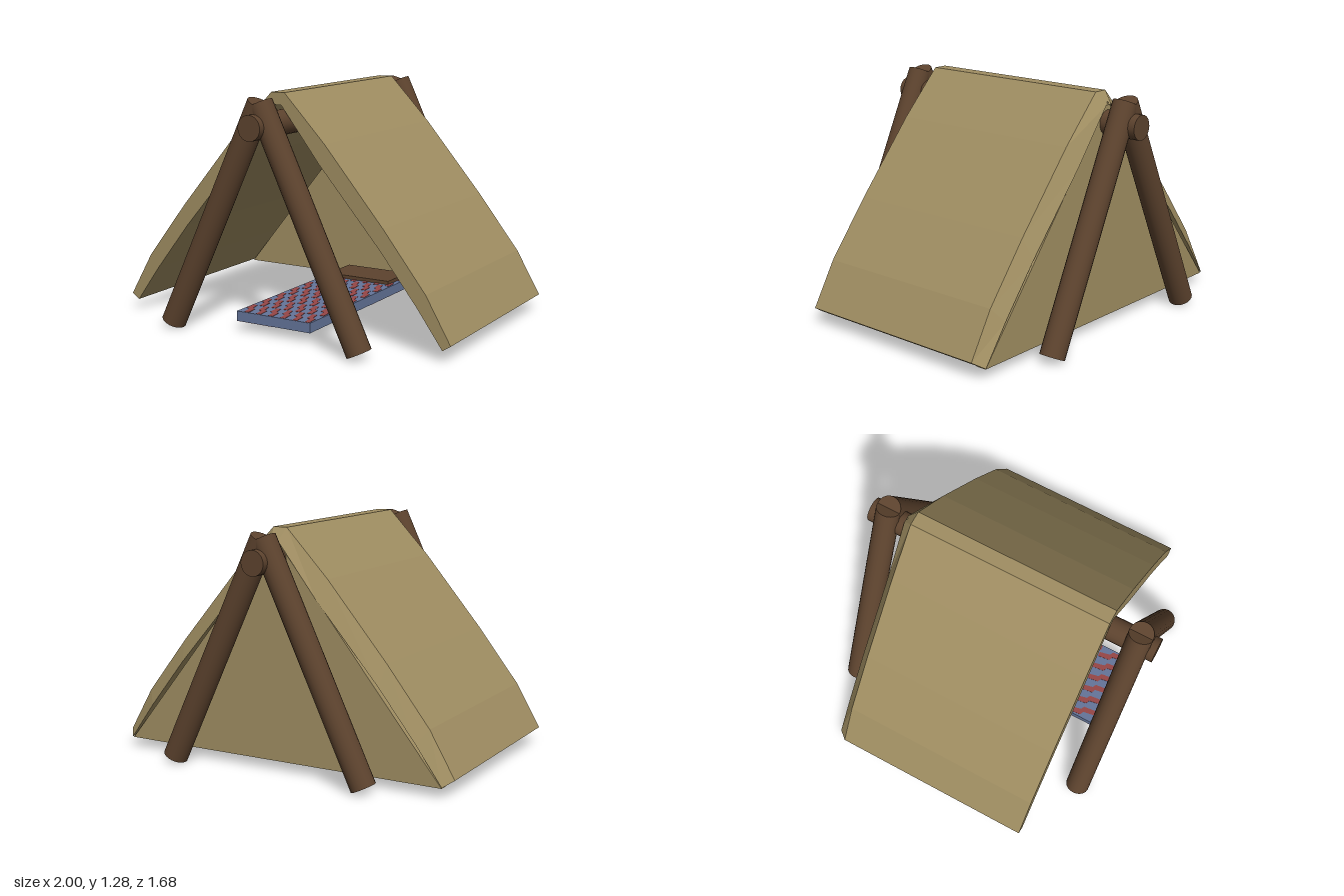
import * as THREE from 'three';

const mat = (name, color) => Object.assign(new THREE.MeshStandardMaterial({ color }), { name });
const shape = (points) => new THREE.Shape(points.map((p) => new THREE.Vector2(...p)));

export function createModel() {
  const canvas = mat('canvas', 0xa08e62);
  const wood = mat('wood', 0x5d432e);
  const blue = mat('blue cloth', 0x64759a);
  const red = mat('red cloth', 0x964646);
  const group = new THREE.Group();

  const add = (name, geometry, material, x = 0, y = 0, z = 0) => {
    const mesh = new THREE.Mesh(geometry, material);
    mesh.name = name;
    mesh.position.set(x, y, z);
    group.add(mesh);
    return mesh;
  };
  const box = (name, material, x0, x1, y0, y1, z0, z1) =>
    add(name, new THREE.BoxGeometry(x1 - x0, y1 - y0, z1 - z0), material,
      (x0 + x1) / 2, (y0 + y1) / 2, (z0 + z1) / 2);

  // Round pole between two points
  const pole = (name, a, b, radius) => {
    const d = b.clone().sub(a);
    const mesh = add(name, new THREE.CylinderGeometry(radius, radius, d.length(), 20), wood);
    mesh.position.copy(a).add(b).multiplyScalar(0.5);
    mesh.quaternion.setFromUnitVectors(new THREE.Vector3(0, 1, 0), d.normalize());
  };
  for (const [end, z] of [['front', 0.737], ['back', -0.74]]) {
    for (const [side, s] of [['Left', 1], ['Right', -1]]) {
      pole(end + side + 'Pole', new THREE.Vector3(s * 0.577, 0.03, z), new THREE.Vector3(0, 1.243, z), 0.067);
    }
  }
  pole('ridgePole', new THREE.Vector3(0, 1.127, -0.845), new THREE.Vector3(0, 1.127, 0.84), 0.067);

  // Thick sagging roof sheet, its back rim bevelled towards the inside
  const mirrored = (half) => [...half.map(([x, y]) => [-x, y]), ...half.slice().reverse()];
  const outer = mirrored([[1, 0.09], [0.86, 0.33], [0.62, 0.635], [0.28, 1.035], [0.04, 1.285]]);
  const inner = mirrored([[0.955, 0.06], [0.81, 0.26], [0.6, 0.525], [0.245, 0.932], [0.02, 1.22]]);
  const outerFront = outer.map((p) => [...p, 0.575]);
  const outerBack = outer.map((p) => [...p, -0.58]);
  const innerFront = inner.map((p) => [...p, 0.575]);
  const innerBack = inner.map((p) => [...p, -0.635]);
  const verts = [];
  const quad = (a, b, c, d) => verts.push(...a, ...b, ...c, ...a, ...c, ...d);
  const last = outer.length - 1;
  for (let i = 0; i < last; i++) {
    const j = i + 1;
    quad(outerFront[i], outerFront[j], outerBack[j], outerBack[i]);
    quad(innerFront[j], innerFront[i], innerBack[i], innerBack[j]);
    quad(outerFront[i], innerFront[i], innerFront[j], outerFront[j]);
    quad(outerBack[j], innerBack[j], innerBack[i], outerBack[i]);
  }
  quad(outerFront[0], outerBack[0], innerBack[0], innerFront[0]);
  quad(innerFront[last], innerBack[last], outerBack[last], outerFront[last]);
  const roof = new THREE.BufferGeometry();
  roof.setAttribute('position', new THREE.Float32BufferAttribute(verts, 3));
  roof.computeVertexNormals();
  add('roofSheet', roof, canvas);

  // Straight-edged triangular back wall
  const triangle = shape([[-0.952, 0.055], [0.952, 0.055], [0, 1.235]]);
  add('backWall', new THREE.ExtrudeGeometry(triangle, { depth: 0.06, bevelEnabled: false }), canvas, 0, 0, -0.63);

  // Sleeping mat with pillow and checkered underside patches
  box('mat', blue, -0.23, 0.23, 0.056, 0.11, -0.52, 0.64);
  box('pillow', wood, -0.2, 0.2, 0.11, 0.13, -0.5, -0.26);
  box('undersidePatch', red, -0.23, 0, 0.055, 0.056, 0.02, 0.64);
  box('undersidePatch', red, 0, 0.23, 0.055, 0.056, -0.52, 0.02);

  // Jagged woven bolts on top of the mat
  const bolt = shape([
    [0.006, -0.072], [0.034, -0.072], [0.026, 0], [0.006, 0.01],
    [-0.008, 0.072], [-0.034, 0.072], [-0.026, 0], [-0.004, -0.01],
  ]);
  const boltGeometry = new THREE.ExtrudeGeometry(bolt, { depth: 0.002, bevelEnabled: false });
  boltGeometry.rotateX(-Math.PI / 2);
  for (let row = 0; row < 8; row++) {
    for (let col = 0; col < 6; col++) {
      add('matBolt', boltGeometry, red, -0.19 + col * 0.076, 0.11, 0.565 - row * 0.144);
    }
  }
  return group;
}
